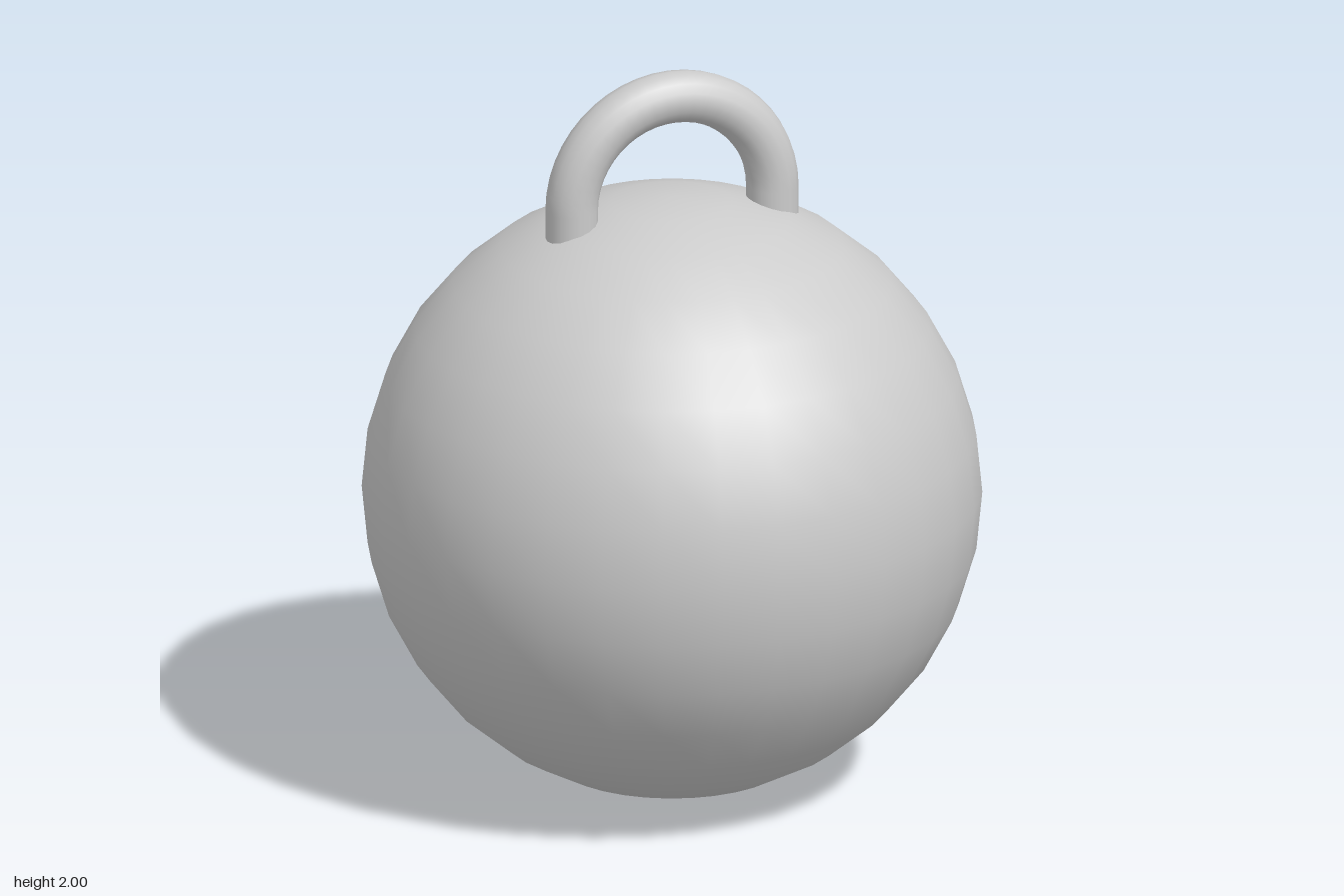
import * as THREE from 'three';

export function createModel() {
  const group = new THREE.Group();
  const material = new THREE.MeshStandardMaterial({ color: 0xcccccc });
  const add = (name, geometry, x, y, parent = group) => {
    const mesh = new THREE.Mesh(geometry, material);
    mesh.name = name;
    mesh.position.set(x, y, 0);
    parent.add(mesh);
  };

  // Round body
  const radius = 0.825;
  add('ball', new THREE.SphereGeometry(radius, 32, 16), 0, radius);

  // Loop handle: half ring on two short straight legs sunk into the ball
  const ring = 0.285, tube = 0.07, archY = 2 - ring - tube, legLength = 0.15;
  const handle = new THREE.Group();
  handle.name = 'handle';
  group.add(handle);
  add('handleArch', new THREE.TorusGeometry(ring, tube, 16, 24, Math.PI), 0, archY, handle);
  for (const [name, side] of [['leftHandleLeg', 1], ['rightHandleLeg', -1]]) {
    const leg = new THREE.CylinderGeometry(tube, tube, legLength, 16);
    add(name, leg, side * ring, archY - legLength / 2, handle);
  }
  return group;
}
